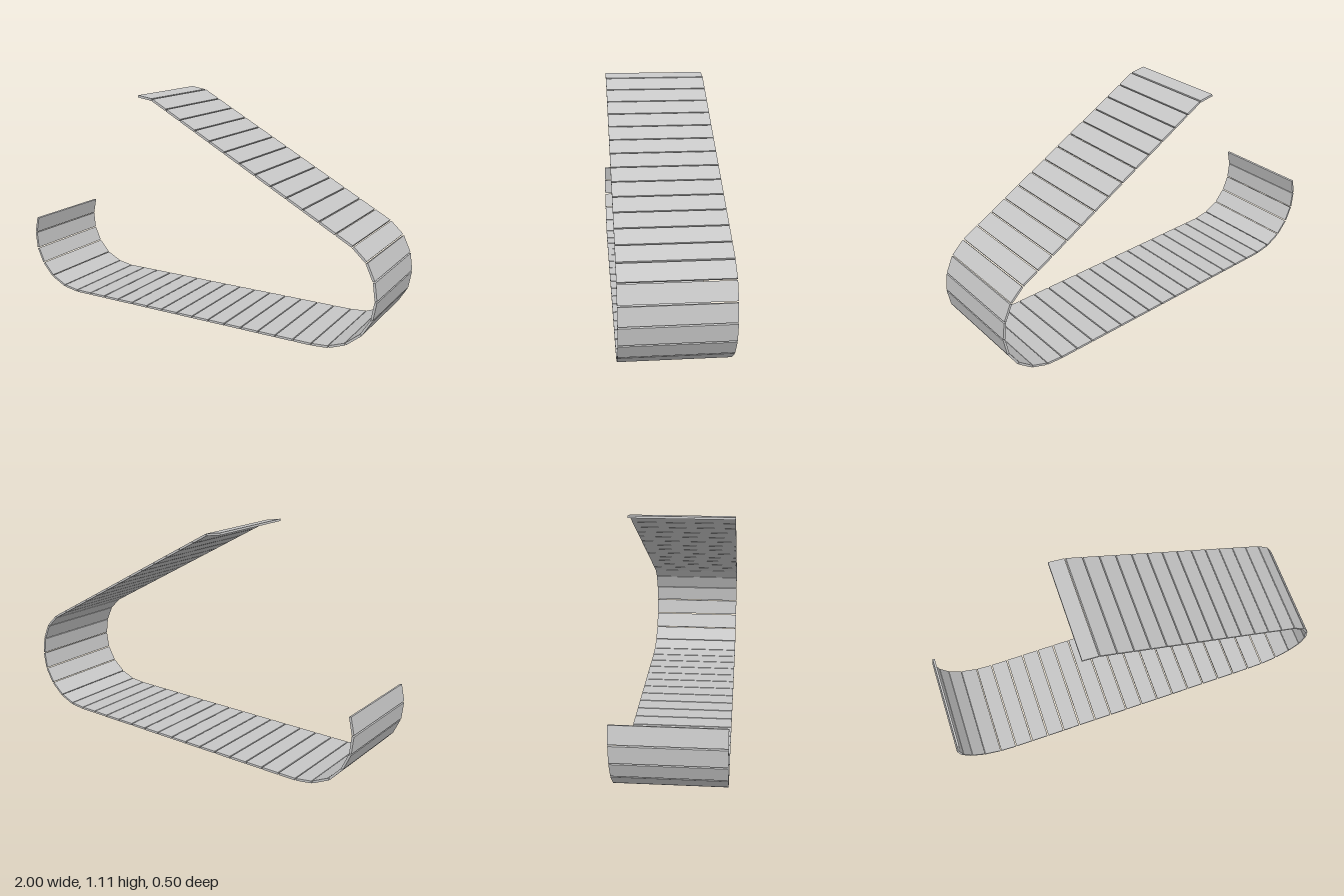
import * as THREE from 'three';

const WIDTH = 0.505, THICK = 0.011, GAP = 0.006;

export function createModel() {
  const group = new THREE.Group();
  group.name = 'track';
  const steel = new THREE.MeshStandardMaterial({ color: 0xc6c6c6 });
  steel.name = 'light grey steel';

  // joints of the belt, with the straight runs split into equal links
  const joints = [[-0.274, 1.107], [-0.19, 1.094]];
  const run = (x, y, count) => {
    const [x0, y0] = joints[joints.length - 1];
    for (let i = 1; i <= count; i++) {
      const t = i / count;
      joints.push([x0 + (x - x0) * t, y0 + (y - y0) * t]);
    }
  };
  run(0.873, 0.512, 13); // sloping upper run
  joints.push([0.94, 0.45], [0.979, 0.366], [0.992, 0.276], [0.977, 0.186],
    [0.93, 0.107], [0.858, 0.047], [0.775, 0.015], [0.69, 0.008]); // front bend
  run(-0.712, 0.008, 15); // ground run
  joints.push([-0.8, 0.022], [-0.886, 0.065], [-0.948, 0.133],
    [-0.984, 0.214], [-0.993, 0.304], [-0.974, 0.392]); // rear bend

  // one flat plate between each pair of joints
  for (let i = 0; i < joints.length - 1; i++) {
    const [x0, y0] = joints[i], [x1, y1] = joints[i + 1];
    const length = Math.hypot(x1 - x0, y1 - y0) - GAP;
    const plate = new THREE.Mesh(new THREE.BoxGeometry(length, THICK, WIDTH), steel);
    plate.name = `trackPlate${i + 1}`;
    plate.position.set((x0 + x1) / 2, (y0 + y1) / 2, 0);
    plate.rotation.z = Math.atan2(y1 - y0, x1 - x0);
    group.add(plate);
  }
  return group;
}
